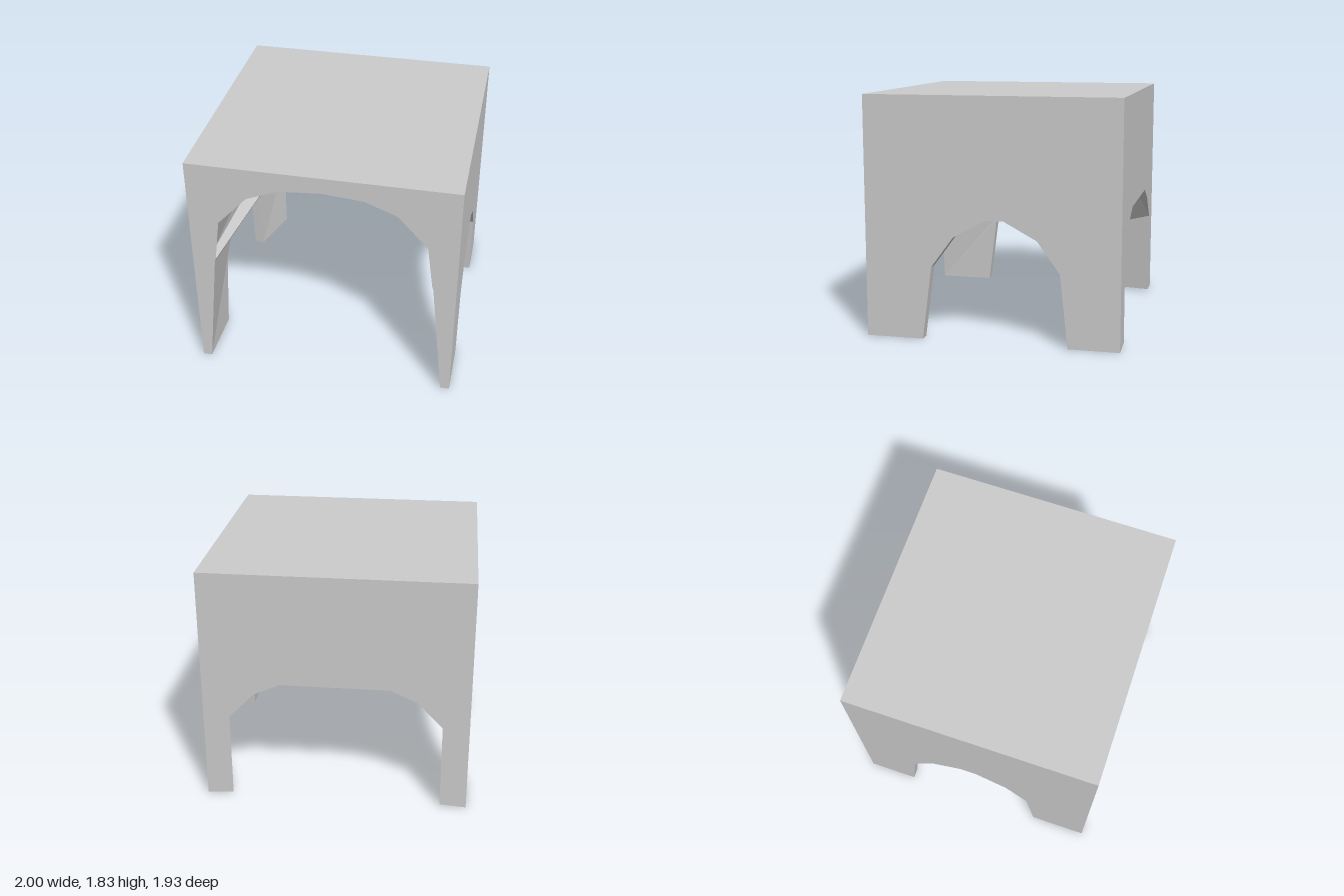
import * as THREE from 'three';

const W = 1, H = 1.83, D = 0.965;

// Right half profiles, bottom to top, as [x, y]
const frontHalf = [[0.93, 0], [0.83, 0.97], [0.82, 1.0], [0.775, 1.34], [0.55, 1.585], [0.31, 1.68], [0, 1.705]];
const backHalf = [[0.8, 0.015], [0.8, 0.68], [0.61, 0.88], [0.41, 0.97]];
// Side arch from back foot over to front foot, as [z, y]
const sideArch = [[-0.58, 0], [-0.52, 0.555], [-0.35, 0.79], [-0.1, 0.925], [0.03, 0.925], [0.28, 0.79], [0.453, 0.555], [0.525, 0]];

export function createModel() {
  const model = new THREE.Group();
  const material = new THREE.MeshStandardMaterial({ color: 0xcccccc, flatShading: true, side: THREE.DoubleSide });

  function add(name, points, indices) {
    const geometry = new THREE.BufferGeometry();
    geometry.setAttribute('position', new THREE.Float32BufferAttribute(points.flat(), 3));
    geometry.setIndex(indices);
    const flat = geometry.toNonIndexed();
    flat.computeVertexNormals();
    const mesh = new THREE.Mesh(flat, material);
    mesh.name = name;
    model.add(mesh);
  }

  // Fills an outline, triangulated in the plane of axes a and b; out is the wanted facing
  function panel(name, points, a, b, out) {
    const faces = THREE.ShapeUtils.triangulateShape(points.map((p) => new THREE.Vector2(p[a], p[b])), []);
    const normal = new THREE.Vector3();
    for (const f of faces) {
      const [p, q, r] = f.map((i) => new THREE.Vector3(...points[i]));
      normal.add(q.sub(p).cross(r.sub(p)));
    }
    if (normal.dot(new THREE.Vector3(...out)) < 0) faces.forEach((f) => f.reverse());
    add(name, points, faces.flat());
  }

  // Joins two rows of points with the same count
  function strip(name, rowA, rowB, flip = false) {
    const n = rowA.length, indices = [];
    for (let i = 0; i < n - 1; i++) {
      const quad = [i, i + 1, n + i, i + 1, n + i + 1, n + i];
      indices.push(...(flip ? quad.reverse() : quad));
    }
    add(name, [...rowA, ...rowB], indices);
  }

  const mirrored = (half) => [...half, ...half.filter(([x]) => x > 0).reverse().map(([x, ...r]) => [-x, ...r])];

  // End walls with their arches
  const endWall = (half, z) => [[W, 0], [W, H], [-W, H], [-W, 0], ...mirrored(half).reverse()].map(([x, y]) => [x, y, z]);
  panel('frontWall', endWall(frontHalf, D), 0, 1, [0, 0, 1]);
  panel('backWall', endWall(backHalf, -D), 0, 1, [0, 0, -1]);
  panel('roof', [[-W, H, -D], [W, H, -D], [W, H, D], [-W, H, D]], 0, 2, [0, 1, 0]);

  // Corners of the recess above the ledge, at its front and back
  const recessFront = [0.86, 1.02, 0.92], recessBack = [0.8, 1.03, -0.9];

  for (const s of [1, -1]) {
    const side = s > 0 ? 'left' : 'right';
    const flip = (points) => points.map(([x, y, z]) => [s * x, y, z]);
    const outerArch = sideArch.map(([z, y]) => [W, y, z]);
    const innerArch = sideArch.map(([z, y]) => [0.925 - 0.015 * y, y, z]);

    // Outer side wall, arch reveal and inner leg wall that narrows to the back arch (feet stay open below)
    panel(side + 'OuterWall', flip([[W, 0, D], [W, H, D], [W, H, -D], [W, 0, -D], ...outerArch]), 2, 1, [s, 0, 0]);
    strip(side + 'ArchReveal', flip(outerArch), flip(innerArch), s < 0);
    panel(side + 'InnerWall', flip([
      [0.93, 0, D], [0.83, 0.97, D], [0.82, 1.0, D], [0.64, 0.975, -0.845],
      ...[...backHalf].reverse().map(([x, y]) => [x, y, -D]), ...innerArch,
    ]), 2, 1, [-s, 0, 0]);

    // Narrow ledge above the leg wall, and the lip of the front arch in front of the recess
    strip(side + 'Ledge', flip([[0.82, 1.0, D], [0.64, 0.975, -0.845]]), flip([recessFront, recessBack]), s < 0);
    panel(side + 'FrontLip', flip([[0.82, 1.0, D], [0.775, 1.34, D], recessFront]), 2, 1, [-s, 0, 0]);
  }

  // Lintel underside and ledge over the back arch
  const lintel = [[0.64, 0.975, -0.845], [-0.64, 0.975, -0.845]];
  strip('backLintel', lintel, [[0.41, 0.97, -D], [-0.41, 0.97, -D]]);
  strip('backLedge', lintel, mirrored([recessBack]), true);

  // Vaulted ceiling running from the front arch to a coarser back profile
  const vaultFront = mirrored([recessFront, ...frontHalf.slice(3).map(([x, y]) => [x, y, D])]);
  const kneeBack = [0.775, 1.34, -0.9];
  const crown = [[0.71, 1.4, -0.876], [0.12, 1.655, -0.774], [0, 1.655, -0.774]];
  strip('vault', vaultFront, mirrored([recessBack, kneeBack, ...crown]));

  // Inner back wall: upright below, leaning forward above the knee
  strip('innerBackWall', mirrored([recessBack]), mirrored([kneeBack]), true);
  panel('innerBackWallTop', mirrored([kneeBack, ...crown]), 0, 1, [0, 0, 1]);

  return model;
}
